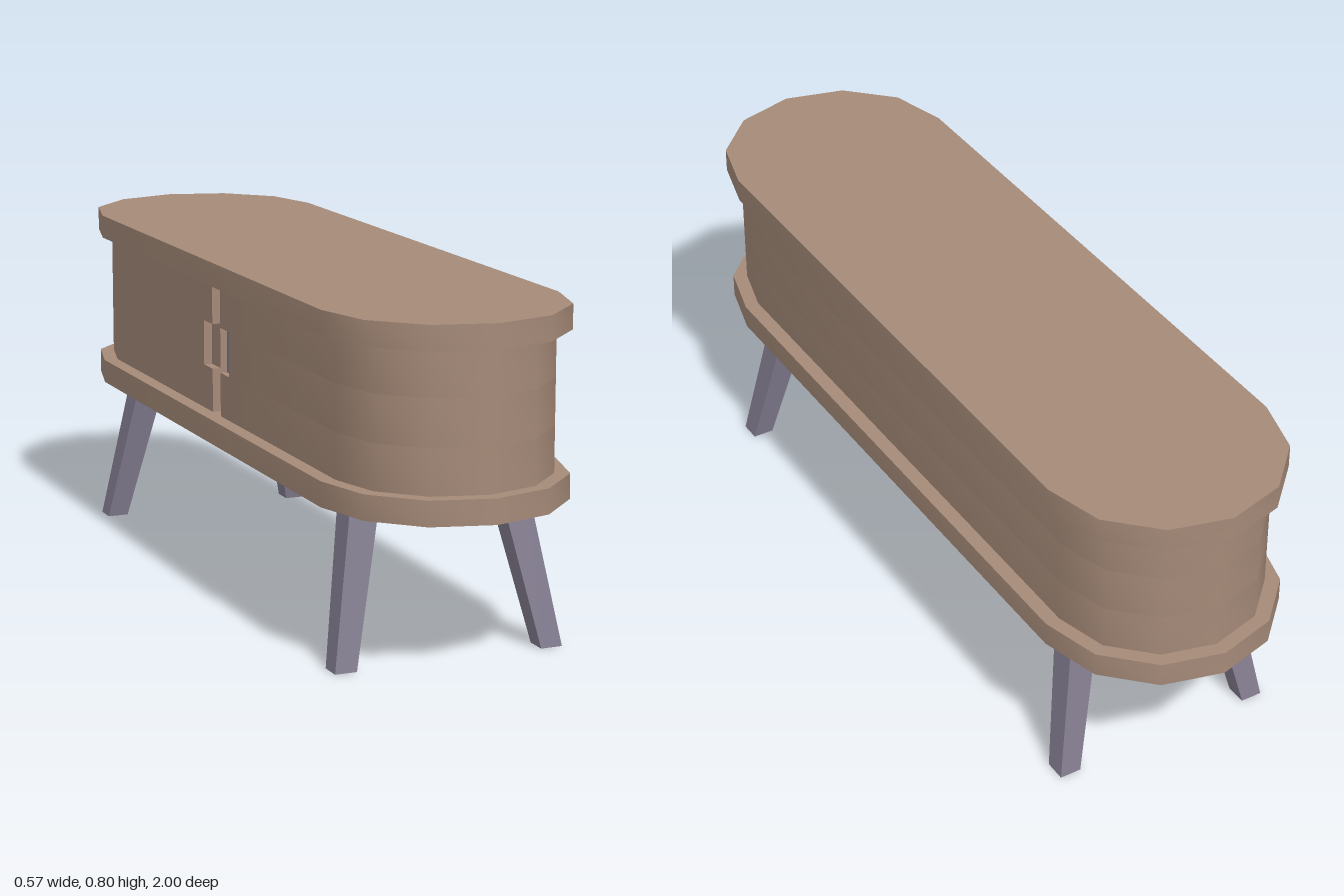
import * as THREE from 'three';
import { toCreasedNormals } from 'three/addons/utils/BufferGeometryUtils.js';

const wood = new THREE.MeshStandardMaterial({ color: 0xa58a78 });
wood.name = 'brownWood';
const grey = new THREE.MeshStandardMaterial({ color: 0x837d90 });
grey.name = 'mauveGrey';

const END_Z = 0.715; // centre of the rounded ends

// Long rounded slab; `cut` lists extra [x, z] points along the -x side
function slab(name, radius, bottom, top, cut = []) {
  const points = [];
  for (const side of [1, -1]) {
    for (let i = 0; i <= 6; i++) {
      const a = (i * Math.PI) / 6;
      points.push(new THREE.Vector2(side * radius * Math.cos(a), side * (END_Z + radius * Math.sin(a))));
    }
    if (side === 1) cut.forEach(([x, z]) => points.push(new THREE.Vector2(x, z)));
  }
  const geo = new THREE.ExtrudeGeometry(new THREE.Shape(points), { depth: top - bottom, bevelEnabled: false });
  geo.rotateX(Math.PI / 2);
  geo.translate(0, top, 0);
  const mesh = new THREE.Mesh(toCreasedNormals(geo, 0.7), wood);
  mesh.name = name;
  return mesh;
}

// Tapered square leg leaning outwards
function leg(name, sx, sz) {
  const h = 0.365;
  const geo = new THREE.BoxGeometry(1, h, 1);
  const p = geo.attributes.position;
  for (let i = 0; i < p.count; i++) {
    const isTop = p.getY(i) > 0;
    const w = isTop ? 0.07 : 0.052;
    const cx = isTop ? 0.18 : 0.251;
    const cz = isTop ? 0.68 : 0.75;
    p.setXYZ(i, sx * cx + p.getX(i) * w, isTop ? h : 0, sz * cz + p.getZ(i) * w);
  }
  geo.computeVertexNormals();
  const mesh = new THREE.Mesh(geo, grey);
  mesh.name = name;
  return mesh;
}

export function createModel() {
  const model = new THREE.Group();
  model.name = 'sideboard';

  // Top and bottom boards
  model.add(slab('topBoard', 0.285, 0.74, 0.797));
  model.add(slab('bottomBoard', 0.285, 0.362, 0.42));

  // Cabinet in three layers: door gap, and finger recesses in the middle layer
  const R = 0.25, gap = 0.026, inner = -0.2, recess = -0.23, grip = 0.082;
  const gapCut = [[-R, gap], [inner, gap], [inner, -gap], [-R, -gap]];
  const gripCut = [
    [-R, grip], [recess, grip], [recess, gap], [inner, gap],
    [inner, -gap], [recess, -gap], [recess, -grip], [-R, -grip],
  ];
  const cabinet = new THREE.Group();
  cabinet.name = 'cabinet';
  cabinet.add(slab('cabinetLower', R, 0.42, 0.525, gapCut));
  cabinet.add(slab('cabinetGripBand', R, 0.525, 0.633, gripCut));
  cabinet.add(slab('cabinetUpper', R, 0.633, 0.74, gapCut));

  // Grey plate at the back of the finger recess
  const plate = new THREE.Mesh(new THREE.BoxGeometry(0.004, 0.108, grip - gap), grey);
  plate.position.set(recess - 0.001, 0.579, (grip + gap) / 2);
  plate.name = 'gripPlate';
  cabinet.add(plate);
  model.add(cabinet);

  // Legs
  for (const sx of [1, -1]) {
    for (const sz of [1, -1]) {
      model.add(leg((sz > 0 ? 'front' : 'back') + (sx > 0 ? 'Left' : 'Right') + 'Leg', sx, sz));
    }
  }
  return model;
}
